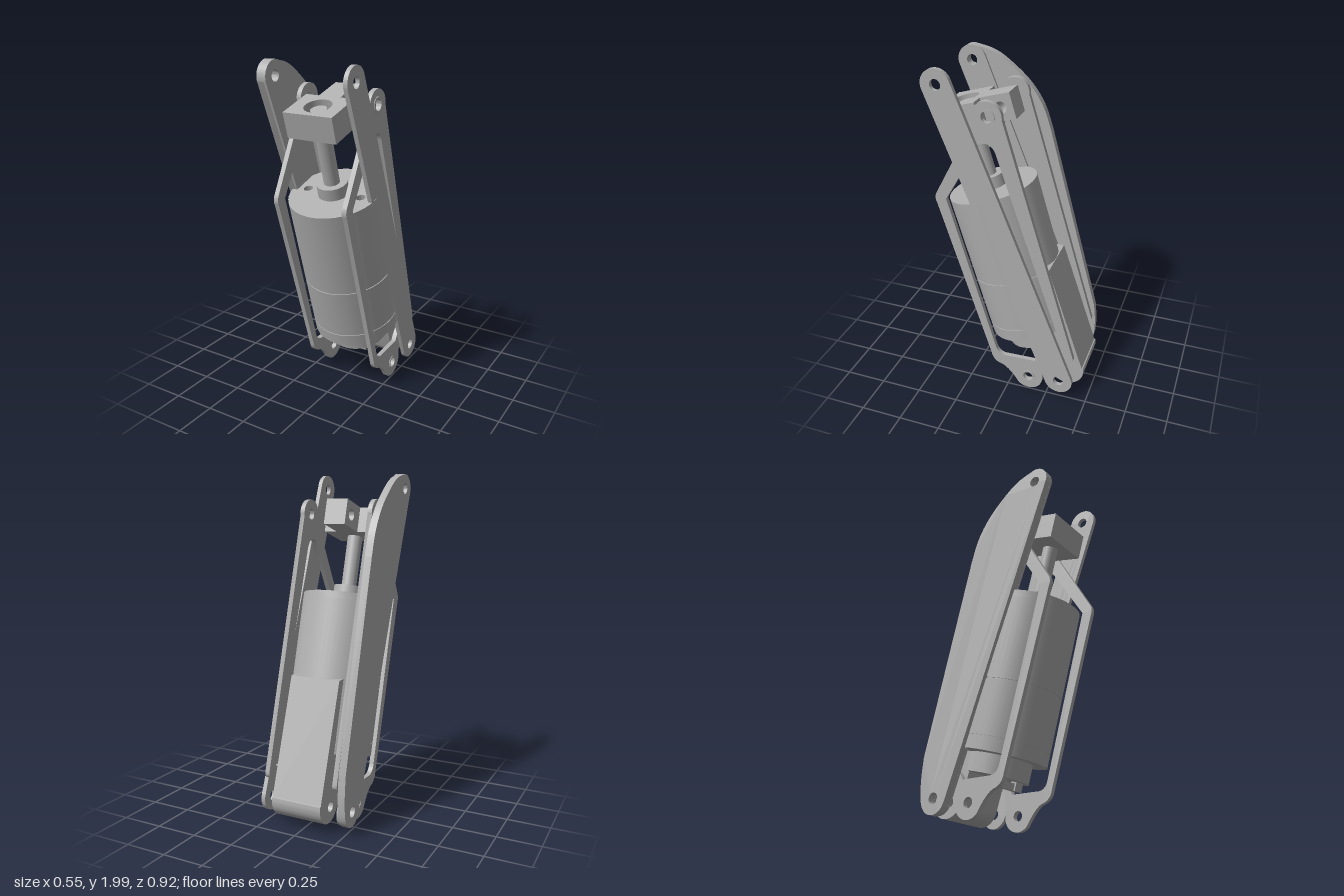
import * as THREE from 'three';
import { toCreasedNormals } from 'three/addons/utils/BufferGeometryUtils.js';

const metal = new THREE.MeshStandardMaterial({ color: 0xb0b0b0 });
metal.name = 'grey metal';

function add(parent, name, geometry) {
  const mesh = new THREE.Mesh(geometry, metal);
  mesh.name = name;
  parent.add(mesh);
  return mesh;
}

const circle = (a, b, r) => new THREE.Path().absarc(a, b, r, 0, Math.PI * 2, true);
const polygon = (pts) => pts.map(([a, b]) => new THREE.Vector2(a, b));

// Side profile given as (z, y), extruded between two x positions
function plate(shape, x0, x1) {
  const g = new THREE.ExtrudeGeometry(shape, { depth: x1 - x0, bevelEnabled: false, curveSegments: 20 });
  g.rotateY(-Math.PI / 2).translate(x1, 0, 0);
  return toCreasedNormals(g, 0.5);
}

// Flat profile given as (x, -z), extruded upward from y0 to y1
function slab(shape, y0, y1) {
  const g = new THREE.ExtrudeGeometry(shape, { depth: y1 - y0, bevelEnabled: false, curveSegments: 28 });
  g.rotateX(-Math.PI / 2).translate(0, y0, 0);
  return toCreasedNormals(g, 0.5);
}

function cylinder(r, y0, y1) {
  return new THREE.CylinderGeometry(r, r, y1 - y0, 56).translate(0, (y0 + y1) / 2, 0);
}

function ring(outer, inner, z, y, x0, x1) {
  const s = new THREE.Shape().absarc(z, y, outer, 0, Math.PI * 2, false);
  s.holes.push(circle(z, y, inner));
  return plate(s, x0, x1);
}

const TOP = [0.375, 1.915], FOOT = [-0.33, 0.14];
const PIVOT = [0.105, 1.765], LOBE = [-0.13, 0.1];

// Open side frame with a bent front strip, a straight back strip and two pivots
function bracketShape() {
  const s = new THREE.Shape();
  s.moveTo(0.42, 1.22);
  s.quadraticCurveTo(0.435, 1.25, 0.42, 1.28);
  s.lineTo(0.18, 1.73);
  s.absarc(PIVOT[0], PIVOT[1], 0.085, 0.1, Math.PI + 0.1, false);
  s.lineTo(-0.41, 0.31);
  s.quadraticCurveTo(-0.415, 0.27, -0.37, 0.27);
  s.lineTo(-0.25, 0.27);
  s.quadraticCurveTo(-0.21, 0.25, -0.22, 0.12);
  s.absarc(LOBE[0], LOBE[1], 0.09, Math.PI, Math.PI * 1.75, false);
  s.quadraticCurveTo(0.0, 0.14, 0.05, 0.15);
  s.quadraticCurveTo(0.1, 0.165, 0.11, 0.22);
  s.closePath();
  // Large opening
  const w = new THREE.Path();
  w.moveTo(0.362, 1.25);
  w.lineTo(0.082, 0.28);
  w.quadraticCurveTo(0.068, 0.225, 0.02, 0.222);
  w.lineTo(-0.17, 0.23);
  w.quadraticCurveTo(-0.21, 0.31, -0.26, 0.315);
  w.lineTo(-0.32, 0.32);
  w.quadraticCurveTo(-0.35, 0.33, -0.34, 0.37);
  w.lineTo(0.06, 1.57);
  w.quadraticCurveTo(0.08, 1.615, 0.115, 1.615);
  w.quadraticCurveTo(0.15, 1.615, 0.165, 1.59);
  w.closePath();
  s.holes.push(w, circle(...PIVOT, 0.032), circle(...LOBE, 0.03));
  return s;
}

// Straight round-ended link with a pivot hole at each end
function linkShape() {
  const t = Math.atan2(FOOT[1] - TOP[1], FOOT[0] - TOP[0]);
  const s = new THREE.Shape();
  s.absarc(...TOP, 0.085, t + Math.PI / 2, t + Math.PI * 1.5, false);
  s.absarc(...FOOT, 0.085, t - Math.PI / 2, t + Math.PI / 2, false);
  s.closePath();
  s.holes.push(circle(...TOP, 0.031), circle(...FOOT, 0.031));
  return s;
}

// Heavy curved arm
function armShape() {
  const s = new THREE.Shape();
  s.moveTo(-0.251, 0.109);
  s.lineTo(0.454, 1.884);
  s.absarc(TOP[0], TOP[1], 0.085, -0.37, Math.PI / 2, false);
  s.splineThru(polygon([[0.25, 1.97], [0.14, 1.9], [0.03, 1.8], [-0.05, 1.68], [-0.1, 1.54]]));
  s.lineTo(-0.415, 0.38);
  s.splineThru(polygon([[-0.427, 0.25], [-0.42, 0.13], [-0.385, 0.07], [-0.33, 0.052], [-0.28, 0.07], [-0.251, 0.109]]));
  s.holes.push(circle(...TOP, 0.032), circle(...FOOT, 0.032));
  return s;
}

export function createModel() {
  const model = new THREE.Group();
  model.name = 'linearActuatorLinkage';

  // Brackets and straight links on both sides
  for (const [side, b0, b1, l0, l1] of [['left', 0.215, 0.243, 0.245, 0.27], ['right', -0.218, -0.19, -0.232, -0.218]]) {
    add(model, side + 'Bracket', plate(bracketShape(), b0, b1));
    add(model, side + 'Link', plate(linkShape(), l0, l1));
  }
  add(model, 'upperPivotRing', ring(0.045, 0.032, ...PIVOT, 0.243, 0.247));
  add(model, 'lowerPivotRing', ring(0.042, 0.03, ...LOBE, 0.243, 0.247));

  // Curved arm outside the right link
  add(model, 'curvedArm', plate(armShape(), -0.275, -0.232));

  // Gear cover behind the motor, rounded at the foot
  const cover = new THREE.Shape();
  cover.moveTo(0.0, 0.85);
  cover.lineTo(-0.226, 0.85);
  cover.lineTo(-0.45, 0.19);
  cover.absarc(-0.352, 0.163, 0.108, Math.PI * 0.93, Math.PI * 1.85, false);
  cover.lineTo(-0.18, 0.34);
  cover.closePath();
  cover.holes.push(circle(-0.335, 0.145, 0.03));
  add(model, 'gearCover', plate(cover, -0.14, 0.17));

  // Motor, tilted forward
  const motor = new THREE.Group();
  motor.name = 'motor';
  motor.position.set(0.01, 1.265, 0.17);
  motor.rotation.x = 0.283;
  model.add(motor);
  const R = 0.262;
  add(motor, 'gearboxCan', cylinder(R, -0.52, -0.04));
  add(motor, 'bodySeam', cylinder(R - 0.005, -0.526, -0.52));
  add(motor, 'motorCan', cylinder(R, -0.84, -0.526));
  add(motor, 'endSeam', cylinder(R - 0.004, -0.845, -0.84));
  add(motor, 'endRing', cylinder(R, -0.92, -0.845));
  add(motor, 'endCap', cylinder(0.18, -1.03, -0.92));
  const face = new THREE.Shape().absarc(0, 0, R, 0, Math.PI * 2, false);
  for (const s of [-1, 1]) face.holes.push(circle(s * 0.172, -0.005, 0.027));
  add(motor, 'drilledFace', slab(face, -0.04, 0));

  // Output boss and shaft
  add(motor, 'shaftBoss', cylinder(0.088, 0, 0.07).translate(0, 0, 0.006));
  add(motor, 'shaft', cylinder(0.045, 0.05, 0.51).translate(0, 0, 0.006));

  // Counterbored block and its rear tab
  const rect = () => new THREE.Shape(polygon([[-0.15, -0.116], [0.15, -0.116], [0.15, 0.112], [-0.15, 0.112]]));
  const bored = rect();
  bored.holes.push(circle(0, -0.006, 0.077));
  add(motor, 'blockBase', slab(rect(), 0.38, 0.455));
  add(motor, 'blockTop', slab(bored, 0.455, 0.529));
  const tab = new THREE.Shape(polygon([[-0.287, 0.38], [-0.112, 0.38], [-0.112, 0.529], [-0.287, 0.529]]));
  tab.holes.push(circle(-0.215, 0.455, 0.034));
  add(motor, 'blockTab', plate(tab, -0.067, 0.067));

  // Terminals under the motor
  for (const s of [-1, 1]) {
    add(motor, 'terminal', new THREE.BoxGeometry(0.06, 0.07, 0.04).translate(s * 0.07, -1.045, 0.09));
  }
  add(motor, 'terminalBase', new THREE.BoxGeometry(0.2, 0.04, 0.06).translate(0, -1.06, 0.07));

  return model;
}
